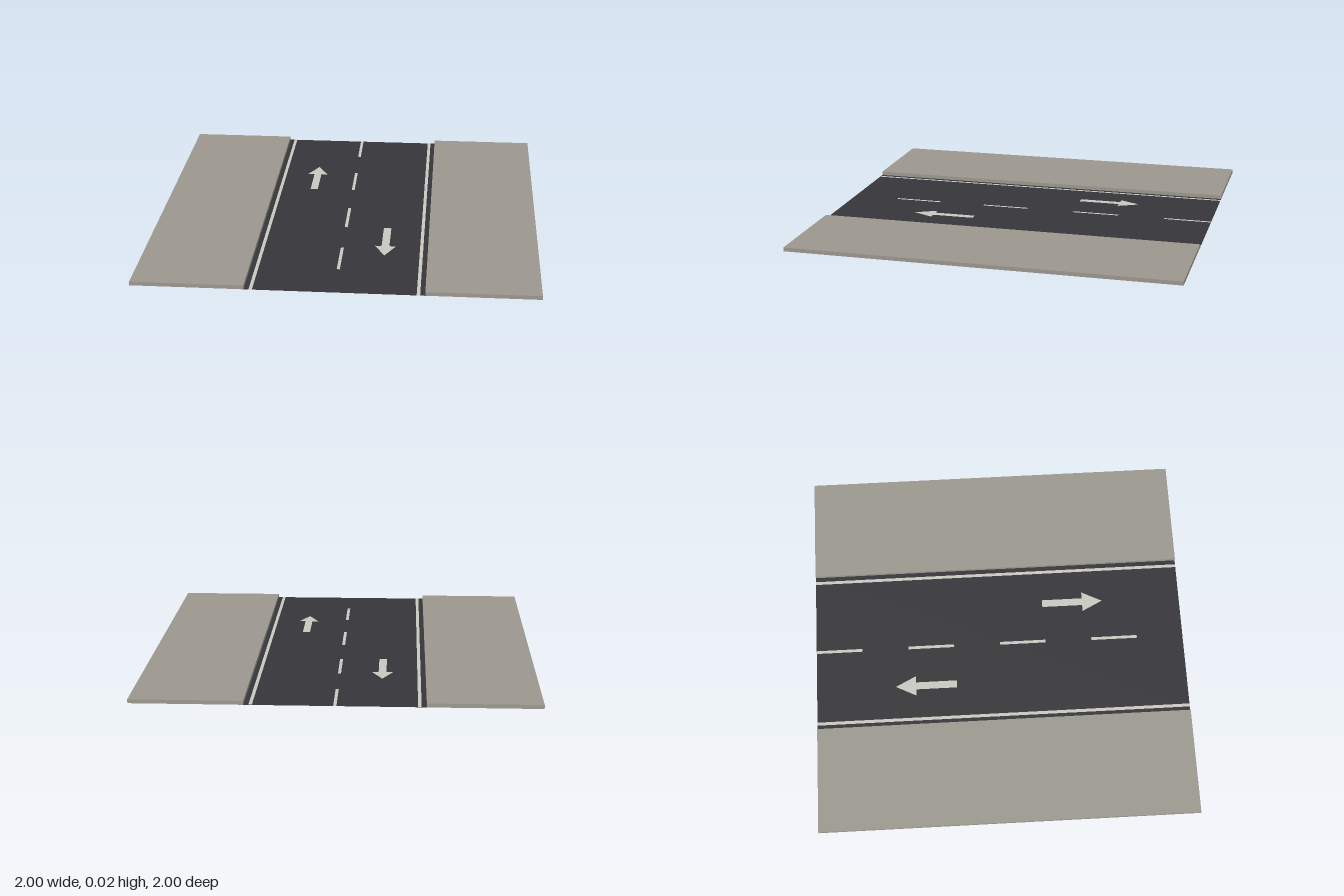
import * as THREE from 'three';

const mat = (color) => new THREE.MeshStandardMaterial({ color, side: THREE.DoubleSide });
const asphalt = mat(0x37373b);
const paint = mat(0xcccbc3);
const paving = mat(0x9e9a91);

const H = 0.02;       // kerb height
const ROAD = 0.44;    // half width of the road
const MARK_Y = 0.001; // paint sits just above the asphalt

function add(parent, name, geometry, material, x = 0, y = 0, z = 0) {
  const mesh = new THREE.Mesh(geometry, material);
  mesh.name = name;
  mesh.position.set(x, y, z);
  parent.add(mesh);
  return mesh;
}

// horizontal sheet facing up
const sheet = (w, d) => new THREE.PlaneGeometry(w, d).rotateX(-Math.PI / 2);

// hollow paving strip, open underneath, with two cross ribs
function createSidewalk(side) {
  const walk = new THREE.Group();
  walk.name = side > 0 ? 'leftSidewalk' : 'rightSidewalk';
  const w = 1 - ROAD;
  const cx = side * (1 + ROAD) / 2;
  add(walk, 'pavingTop', sheet(w, 2), paving, cx, H, 0);
  for (const [name, x, dir] of [['outerWall', 1, 1], ['kerbFace', ROAD, -1]]) {
    const g = new THREE.PlaneGeometry(2, H).rotateY(dir * side * Math.PI / 2);
    add(walk, name, g, paving, side * x, H / 2, 0);
  }
  for (const z of [-1, -0.43, 0.43, 1]) {
    const g = new THREE.PlaneGeometry(w, H);
    if (z < 0) g.rotateY(Math.PI);
    add(walk, Math.abs(z) === 1 ? 'endWall' : 'crossRib', g, paving, cx, H / 2, z);
  }
  return walk;
}

// flat lane arrow pointing to -z, centred on its length
function arrowGeometry() {
  const right = [[0.02, -0.165], [0.02, 0.055], [0.055, 0.055], [0, 0.165]];
  const left = right.slice(0, 3).reverse().map(([x, y]) => [-x, y]);
  const shape = new THREE.Shape([...right, ...left].map(([x, y]) => new THREE.Vector2(x, y)));
  return new THREE.ShapeGeometry(shape).rotateX(-Math.PI / 2);
}

export function createModel() {
  const model = new THREE.Group();
  model.name = 'roadSection';

  add(model, 'roadSurface', sheet(2 * ROAD, 2), asphalt);

  // sidewalks and solid edge lines
  for (const side of [-1, 1]) {
    model.add(createSidewalk(side));
    add(model, 'edgeLine', sheet(0.017, 2), paint, side * 0.407, MARK_Y, 0);
  }

  // dashed centre line
  for (let i = 0; i < 4; i++) {
    add(model, 'centreDash', sheet(0.016, 0.25), paint, 0, MARK_Y, -0.875 + i * 0.5);
  }

  // one arrow per lane, in opposite directions
  for (const side of [-1, 1]) {
    const arrow = add(model, 'laneArrow', arrowGeometry(), paint, side * 0.22, MARK_Y, side * 0.41);
    if (side > 0) arrow.rotation.y = Math.PI;
  }

  return model;
}
